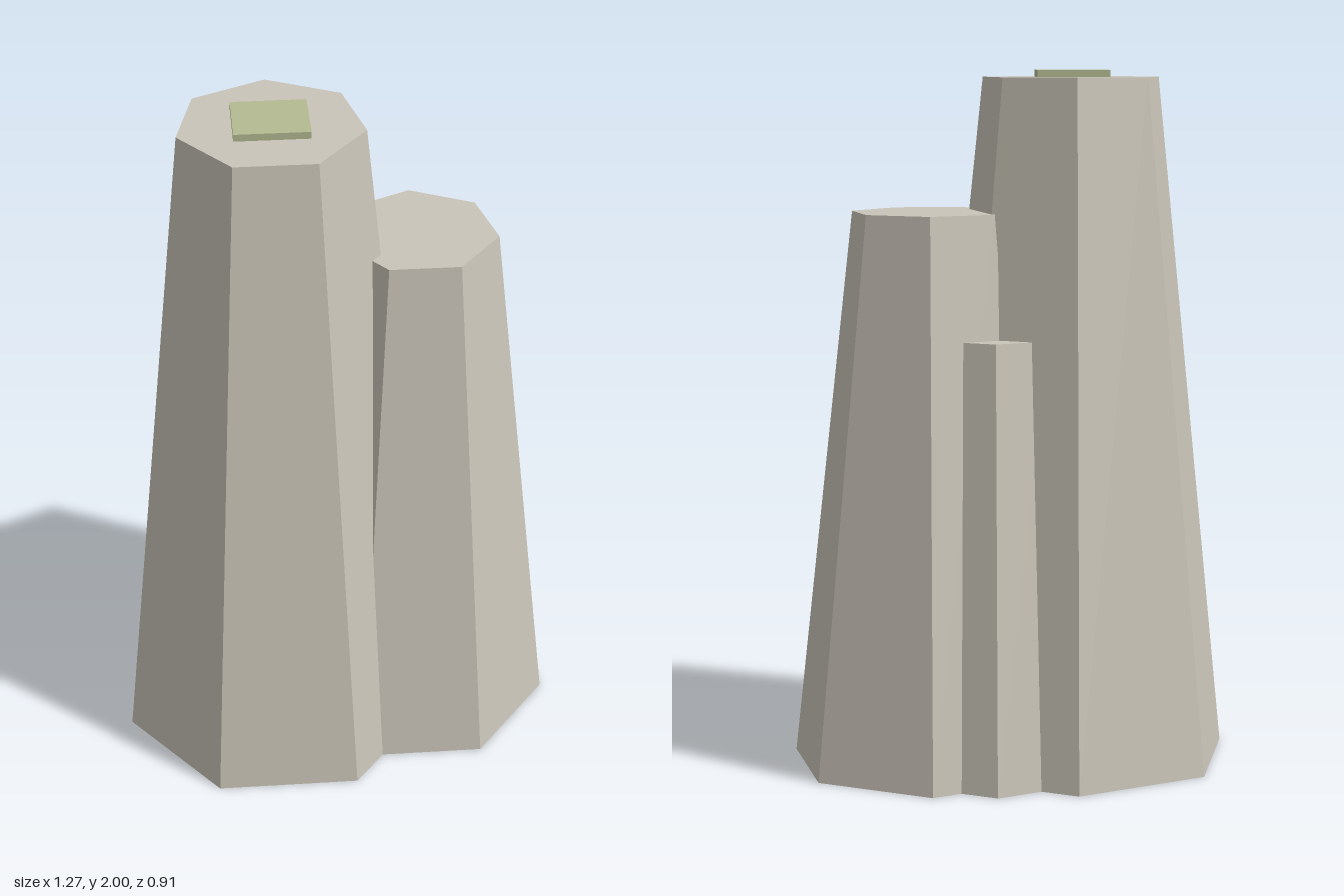
import * as THREE from 'three';

const SIDES = 7;
const TAPER = 0.552; // top radius relative to base radius

export function createModel() {
  const model = new THREE.Group();
  model.name = 'towerCluster';

  const stone = new THREE.MeshStandardMaterial({ color: 0xc9c4b8 });
  stone.name = 'pale stone';
  const green = new THREE.MeshStandardMaterial({ color: 0xb3ba92 });
  green.name = 'soft green';

  // Tapered seven-sided columns, flat side forward, merging into each other
  const columns = [
    { name: 'tallColumn', x: -0.177, z: 0.026, radius: 0.471, height: 1.98 },
    { name: 'middleColumn', x: 0.23, z: -0.031, radius: 0.4145, height: 1.6 },
    { name: 'shortColumn', x: 0.05, z: -0.109, radius: 0.346, height: 1.25 },
  ];
  for (const { name, x, z, radius, height } of columns) {
    const geometry = new THREE.CylinderGeometry(radius * TAPER, radius, height, SIDES, 1, false, Math.PI)
      .toNonIndexed();
    geometry.computeVertexNormals(); // crisp facets
    const column = new THREE.Mesh(geometry, stone);
    column.name = name;
    column.position.set(x, height / 2, z);
    model.add(column);
  }

  // Thin slab on top of the tall column
  const slab = new THREE.Mesh(new THREE.BoxGeometry(0.207, 0.022, 0.188), green);
  slab.name = 'topSlab';
  slab.position.set(-0.177, 1.989, 0.026);
  model.add(slab);

  return model;
}
